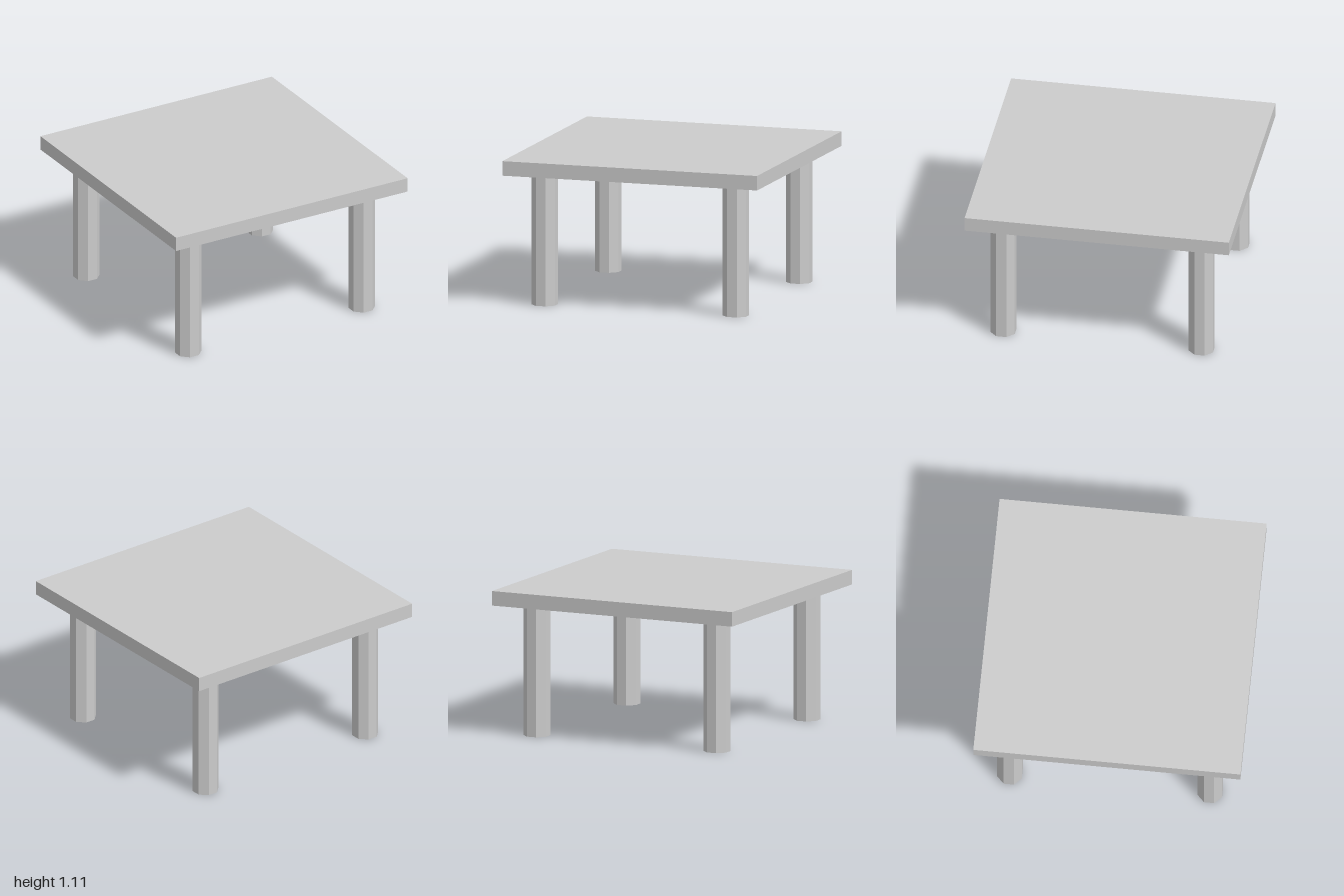
import * as THREE from 'three';

export function createModel() {
  const table = new THREE.Group();
  table.name = 'table';
  const material = new THREE.MeshStandardMaterial({ color: 0xcccccc, flatShading: true });

  const legHeight = 1, topThickness = 0.11, legOffset = 0.75;

  // Square slab top
  const top = new THREE.Mesh(new THREE.BoxGeometry(2, topThickness, 2), material);
  top.name = 'tableTop';
  top.position.y = legHeight + topThickness / 2;
  table.add(top);

  // Four octagonal legs, turned so flat sides face front and sides
  const legGeometry = new THREE.CylinderGeometry(0.1, 0.1, legHeight, 8);
  legGeometry.rotateY(Math.PI / 8);
  for (const [zName, z] of [['front', 1], ['back', -1]]) {
    for (const [xName, x] of [['Left', 1], ['Right', -1]]) {
      const leg = new THREE.Mesh(legGeometry, material);
      leg.name = `${zName}${xName}Leg`;
      leg.position.set(x * legOffset, legHeight / 2, z * legOffset);
      table.add(leg);
    }
  }

  return table;
}
